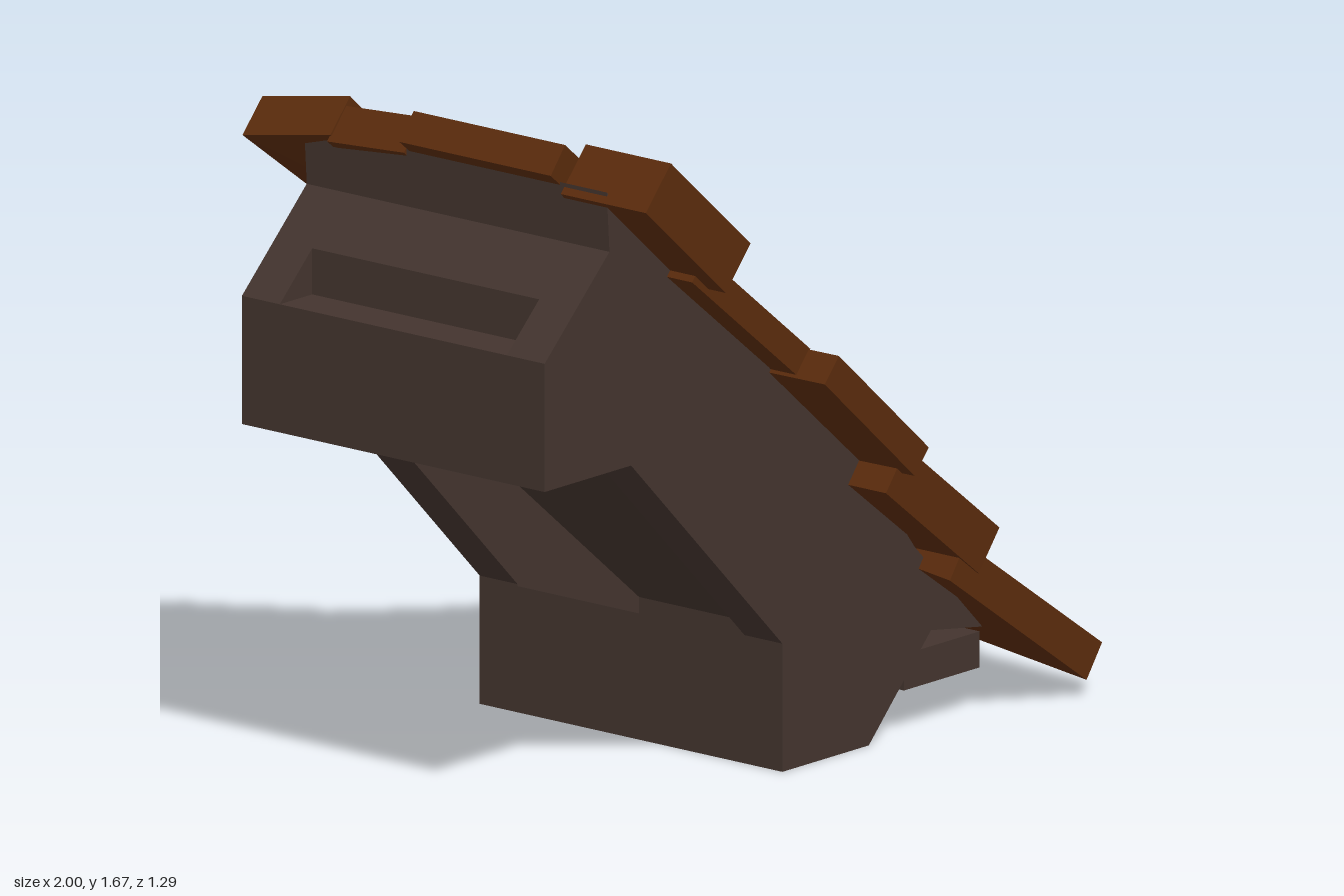
import * as THREE from 'three';

export function createModel() {
  const wood = new THREE.MeshStandardMaterial({ color: 0x5a2b0c, flatShading: true });
  wood.name = 'brownWood';
  const stone = new THREE.MeshStandardMaterial({ color: 0x43342e, flatShading: true });
  stone.name = 'darkFrame';
  const model = new THREE.Group();
  model.name = 'roofSection';

  // Side profile (x, y) extruded between two z positions
  function slab(name, points, z0, z1) {
    const shape = new THREE.Shape(points.map(([x, y]) => new THREE.Vector2(x, y)));
    const geo = new THREE.ExtrudeGeometry(shape, { depth: z1 - z0, bevelEnabled: false });
    geo.translate(0, 0, z0);
    const mesh = new THREE.Mesh(geo, stone);
    mesh.name = name;
    model.add(mesh);
  }

  // Upper edge of the frame, from the eave nose to the ridge
  const slope = [[0.62, 0.21], [0.37, 0.46], [0.18, 0.71], [-0.15, 1.0], [-0.3, 1.15],
    [-0.6, 1.43], [-0.77, 1.58], [-0.76, 1.43]];

  // Two stringers carry the slope
  const stringer = [[-1, 0.88], [-0.68, 0.88], [-0.12, 0.32], [-0.12, 0], [0.2, 0], [0.43, 0.24],
    ...slope, [-1, 1.2]];
  slab('rightStringer', stringer, -0.49, -0.37);
  slab('leftStringer', stringer, 0.35, 0.47);

  // Deck and cross beams between the stringers
  slab('deck', [[-0.88, 1.2], [0.36, 0.17], [0.43, 0.24], ...slope, [-0.88, 1.315]], -0.37, 0.35);
  slab('upperBeam', [[-1, 0.88], [-0.68, 0.88], [-0.88, 1.2], [-1, 1.2]], -0.37, 0.35);
  slab('lowerBeam', [[-0.12, 0], [0.2, 0], [0.2, 0.05], [-0.12, 0.315]], -0.37, 0.35);
  slab('eaveBar', [[0.33, 0.11], [0.61, 0.11], [0.61, 0.2], [0.33, 0.2]], -0.49, 0.47);

  // Sloping board: a box whose corners are moved to the upper and lower edges.
  // a = upper edge [x, y], b = lower edge [x, y], t = thickness,
  // za, zb = [left, right] z at each edge, sinkA, sinkB = how far the right corners sink
  function board(name, a, b, t, za, zb = za, sinkA = 0, sinkB = 0) {
    const geo = new THREE.BoxGeometry(1, 1, 1);
    const p = geo.attributes.position;
    const len = Math.hypot(b[0] - a[0], b[1] - a[1]);
    const nx = (a[1] - b[1]) / len, ny = (b[0] - a[0]) / len;
    for (let i = 0; i < p.count; i++) {
      const low = p.getX(i) > 0, right = p.getZ(i) < 0;
      const e = low ? b : a, z = low ? zb : za;
      const depth = (p.getY(i) < 0 ? t : 0) + (right ? (low ? sinkB : sinkA) : 0);
      p.setXYZ(i, e[0] - nx * depth, e[1] - ny * depth, z[right ? 1 : 0]);
    }
    geo.computeVertexNormals();
    const mesh = new THREE.Mesh(geo, wood);
    mesh.name = name;
    model.add(mesh);
  }

  // Ridge row
  board('ridgeBoardLeft', [-0.69, 1.66], [-0.395, 1.4], 0.14, [0.605, 0.335], [0.605, 0.305]);
  board('ridgeBoardMiddle', [-0.755, 1.67], [-0.405, 1.39], 0.085, [0.325, -0.155], [0.295, -0.17]);
  board('ridgeBoardInner', [-0.715, 1.645], [-0.405, 1.38], 0.1, [-0.165, -0.4], [-0.185, -0.4], 0.015);
  board('ridgeBoardRight', [-0.71, 1.655], [-0.405, 1.38], 0.11, [-0.395, -0.645], [-0.395, -0.63], 0.05, 0.01);

  // Second row, tucked under the ridge row
  board('secondRowLeft', [-0.5, 1.382], [-0.11, 1.068], 0.075, [0.55, -0.005], [0.55, -0.01]);
  board('secondRowRight', [-0.45, 1.388], [-0.11, 1.065], 0.075, [-0.015, -0.63], [-0.01, -0.59], 0, 0.03);

  // Third row
  board('thirdRow', [-0.115, 1.068], [0.235, 0.765], 0.08, [0.645, -0.535], [0.63, -0.54], 0.01, 0.015);

  // Fourth row
  board('fourthRowLeft', [0.2, 0.765], [0.555, 0.49], 0.125, [0.59, 0.13], [0.58, 0.13]);
  board('fourthRowRight', [0.21, 0.735], [0.55, 0.475], 0.14, [0.12, -0.595], [0.12, -0.59]);

  // Eave row
  board('eaveBoardLeft', [0.435, 0.475], [0.935, 0.125], 0.1, [0.575, 0.215], [0.58, 0.21], -0.04, -0.04);
  board('eaveBoardMiddle', [0.45, 0.53], [0.99, 0.15], 0.105, [0.205, -0.135], [0.205, -0.135]);
  board('eaveBoardRight', [0.45, 0.53], [0.995, 0.15], 0.125, [-0.14, -0.49], [-0.14, -0.495], 0.05, 0.045);

  return model;
}
